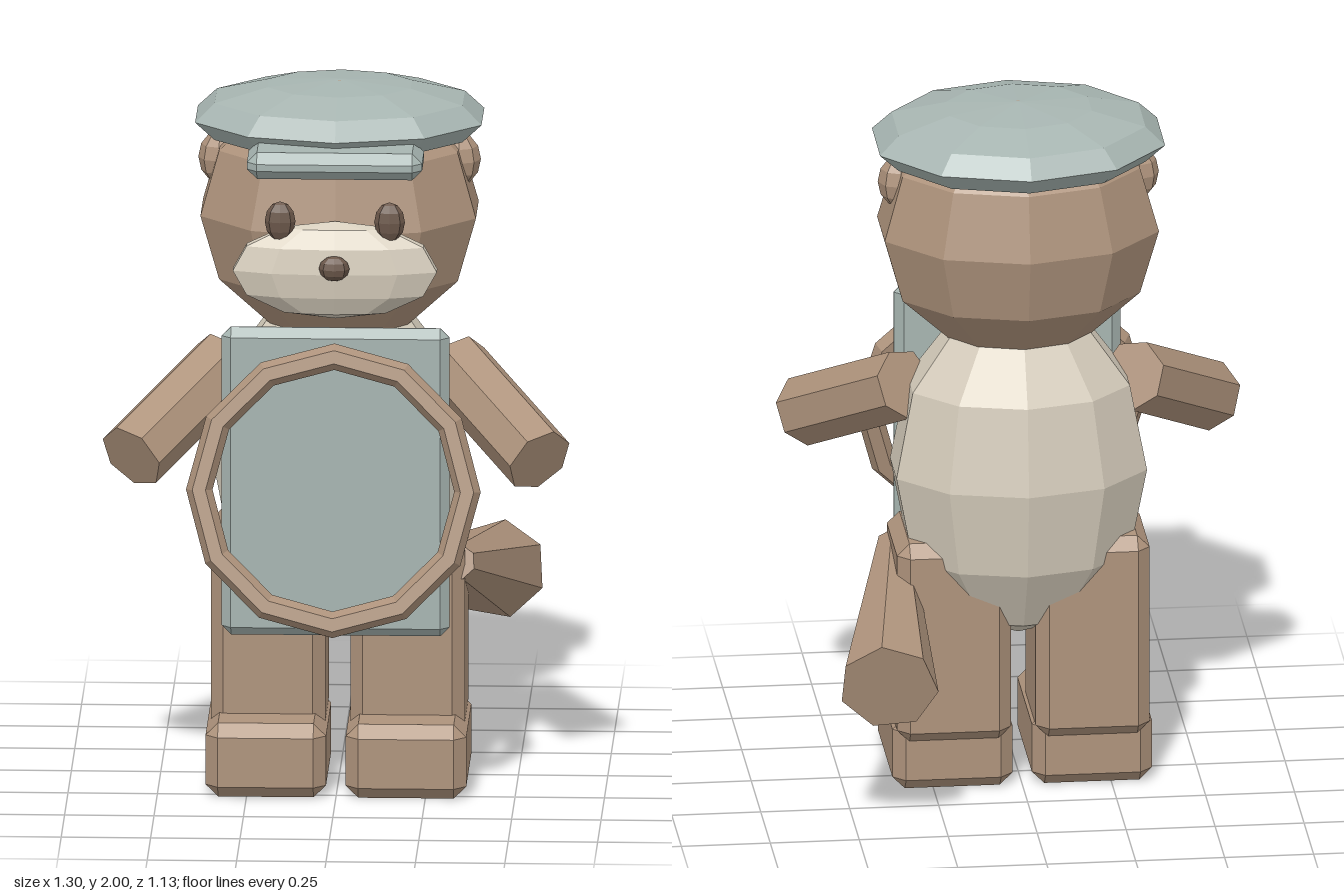
import * as THREE from 'three';
import { ConvexGeometry } from 'three/addons/geometries/ConvexGeometry.js';

function material(name, color) {
  const m = new THREE.MeshStandardMaterial({ color, flatShading: true });
  m.name = name;
  return m;
}

export function createModel() {
  const fur = material('brown fur', 0xae937c);
  const cream = material('cream', 0xd6cdbc);
  const cloth = material('grey cloth', 0xa7b5b1);
  const dark = material('dark brown', 0x6c584b);

  const model = new THREE.Group();
  model.name = 'capAnimal';

  function add(name, geometry, mat, x = 0, y = 0, z = 0) {
    const mesh = new THREE.Mesh(geometry, mat);
    mesh.name = name;
    mesh.position.set(x, y, z);
    model.add(mesh);
    return mesh;
  }

  // Faceted ellipsoid with a column of corners facing front
  function ball(rx, ry, rz, sides = 10, rings = 6) {
    return new THREE.SphereGeometry(1, sides, rings).rotateY(Math.PI / 2).scale(rx, ry, rz);
  }

  // Box with every edge cut by a bevel
  function bevelBox(w, h, d, b) {
    const points = [];
    for (const sx of [-1, 1]) for (const sy of [-1, 1]) for (const sz of [-1, 1]) {
      const x = w / 2, y = h / 2, z = d / 2;
      points.push(
        new THREE.Vector3(sx * x, sy * (y - b), sz * (z - b)),
        new THREE.Vector3(sx * (x - b), sy * y, sz * (z - b)),
        new THREE.Vector3(sx * (x - b), sy * (y - b), sz * z));
    }
    return new ConvexGeometry(points);
  }

  // Straight limb between two points
  function limb(name, from, to, r0, r1) {
    const a = new THREE.Vector3(...from), b = new THREE.Vector3(...to);
    const dir = b.clone().sub(a);
    const mesh = add(name, new THREE.CylinderGeometry(r1, r0, dir.length(), 7), fur);
    mesh.position.copy(a).add(b).multiplyScalar(0.5);
    mesh.quaternion.setFromUnitVectors(new THREE.Vector3(0, 1, 0), dir.normalize());
  }

  // Body and head
  add('body', ball(0.37, 0.5, 0.28), cream, 0, 0.92, -0.01);
  add('head', ball(0.405, 0.37, 0.328), fur, 0, 1.63, 0.003);
  add('muzzle', ball(0.3, 0.14, 0.068), cream, 0, 1.537, 0.333);
  add('nose', ball(0.043, 0.036, 0.03, 8, 6), dark, 0, 1.557, 0.4);

  // Flat cap with a peak
  const cap = add('cap', ball(0.421, 0.105, 0.346), cloth, 0, 1.895, -0.01);
  cap.rotation.x = -0.02;
  add('capPeak', bevelBox(0.49, 0.076, 0.19, 0.028), cloth, 0, 1.845, 0.305);

  // Mirrored parts
  for (const [side, s] of [['left', 1], ['right', -1]]) {
    add(side + 'Eye', ball(0.043, 0.057, 0.024, 8, 6), dark, s * 0.153, 1.68, 0.35);
    add(side + 'Ear', ball(0.06, 0.076, 0.061, 8, 6), fur, s * 0.335, 1.775, -0.003);
    limb(side + 'Arm', [s * 0.32, 1.175, -0.02], [s * 0.57, 0.985, 0.305], 0.1, 0.1);
    add(side + 'Leg', bevelBox(0.32, 0.59, 0.335, 0.035), fur, s * 0.195, 0.445, -0.003);
    add(side + 'Foot', bevelBox(0.337, 0.212, 0.447, 0.035), fur, s * 0.196, 0.106, 0.085);
  }

  // Tail swings out behind the left leg
  limb('tail', [0.335, 0.645, 0.125], [0.42, 0.46, -0.525], 0.05, 0.14);

  // Front panel and leaning hoop
  add('frontPanel', bevelBox(0.637, 0.887, 0.056, 0.026), cloth, 0, 0.916, 0.29);
  const hoop = add('hoop', new THREE.TorusGeometry(0.375, 0.037, 6, 12), fur, 0, 0.932, 0.46);
  hoop.rotation.x = -0.2;

  return model;
}
